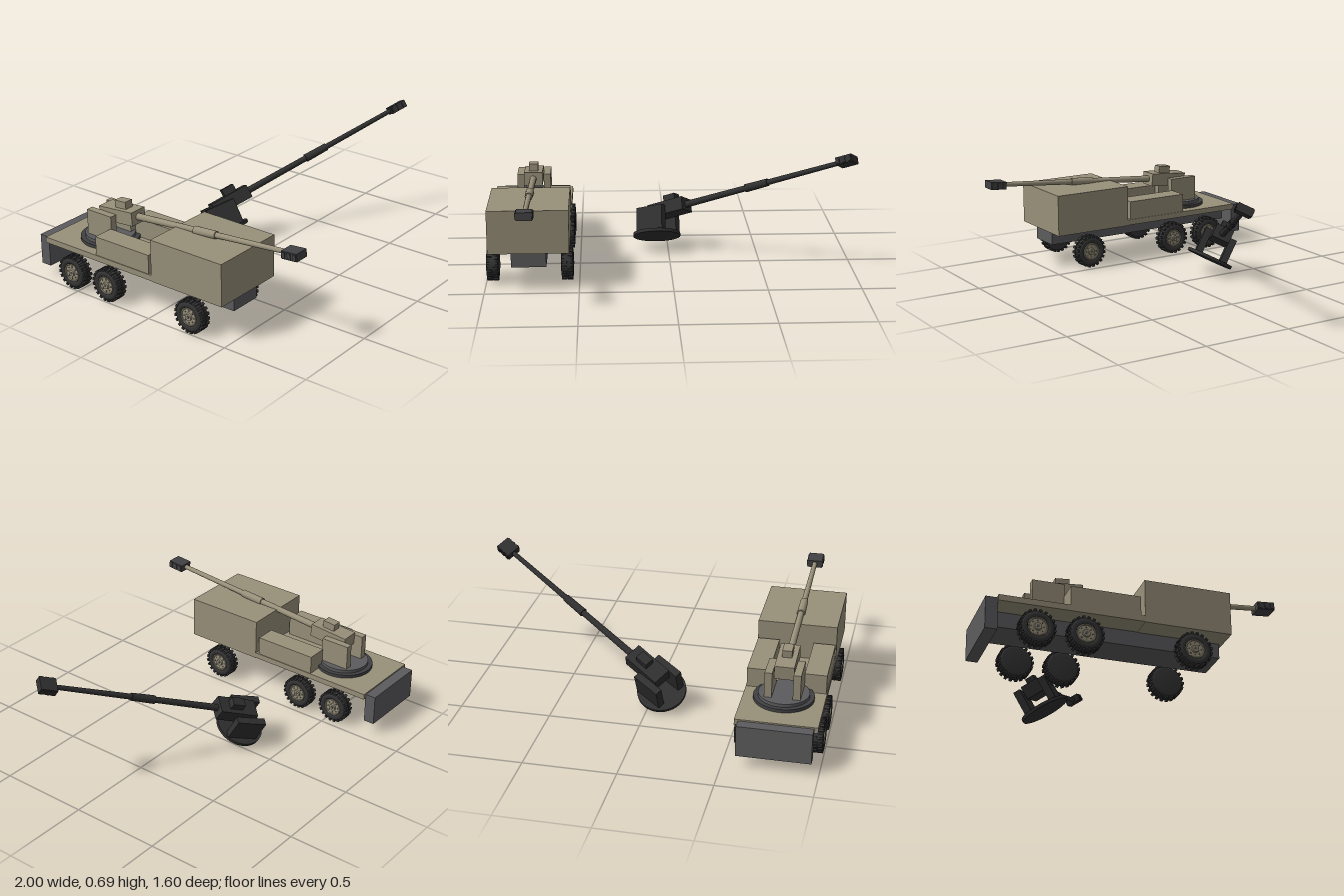
import * as THREE from 'three';

const mat = (name, color) => {
  const m = new THREE.MeshStandardMaterial({ color });
  m.name = name;
  return m;
};
const tan = mat('tan paint', 0x98907a);
const grey = mat('chassis grey', 0x5c5c5e);
const dark = mat('dark steel', 0x414143);
const rubber = mat('tyre rubber', 0x343434);
const burnt = mat('burnt metal', 0x303030);

function add(parent, name, geometry, material, x = 0, y = 0, z = 0) {
  const mesh = new THREE.Mesh(geometry, material);
  mesh.name = name;
  mesh.position.set(x, y, z);
  parent.add(mesh);
  return mesh;
}

// Box given by its lower and upper corners
function box(parent, name, material, x0, x1, y0, y1, z0, z1) {
  return add(parent, name, new THREE.BoxGeometry(x1 - x0, y1 - y0, z1 - z0), material,
    (x0 + x1) / 2, (y0 + y1) / 2, (z0 + z1) / 2);
}

// Cylinder lying along z
function rod(parent, name, material, rBack, rFront, z0, z1) {
  const g = new THREE.CylinderGeometry(rFront, rBack, z1 - z0, 20).rotateX(Math.PI / 2);
  return add(parent, name, g, material, 0, 0, (z0 + z1) / 2);
}

// Wheel with its outer face towards local +y
function makeWheel() {
  const wheel = new THREE.Group();
  wheel.name = 'wheel';
  const profile = [[0, -0.033], [0.07, -0.033], [0.083, -0.026], [0.087, -0.012], [0.087, 0.012],
    [0.083, 0.026], [0.07, 0.033], [0.053, 0.031], [0.05, 0.02], [0, 0.02]]
    .map(([r, y]) => new THREE.Vector2(r, y));
  add(wheel, 'tyre', new THREE.LatheGeometry(profile, 32), rubber);
  // Two staggered rows of tread blocks
  const count = 20;
  for (let i = 0; i < count * 2; i++) {
    const a = (i / (count * 2)) * Math.PI * 2;
    const lug = add(wheel, 'treadBlock', new THREE.BoxGeometry(0.012, 0.028, 0.015), rubber,
      Math.cos(a) * 0.087, i % 2 ? 0.016 : -0.016, Math.sin(a) * 0.087);
    lug.rotation.y = -a;
  }
  // Rim, hub and wheel nuts
  add(wheel, 'rim', new THREE.CylinderGeometry(0.049, 0.049, 0.006, 32), tan, 0, 0.022, 0);
  const lip = add(wheel, 'rimLip', new THREE.TorusGeometry(0.047, 0.004, 8, 32), tan, 0, 0.027, 0);
  lip.rotation.x = Math.PI / 2;
  add(wheel, 'hub', new THREE.CylinderGeometry(0.018, 0.021, 0.01, 20), tan, 0, 0.029, 0);
  add(wheel, 'hubCap', new THREE.CylinderGeometry(0.008, 0.008, 0.004, 12), grey, 0, 0.034, 0);
  for (let i = 0; i < 8; i++) {
    const a = (i / 8) * Math.PI * 2;
    add(wheel, 'wheelNut', new THREE.CylinderGeometry(0.004, 0.004, 0.005, 6), grey,
      Math.cos(a) * 0.033, 0.026, Math.sin(a) * 0.033);
  }
  return wheel;
}

// Turret whose origin is the centre of the turntable's underside
function makeTurret(name, body, base, brake) {
  const turret = new THREE.Group();
  turret.name = name;
  add(turret, 'turntable', new THREE.CylinderGeometry(0.135, 0.135, 0.018, 40), base, 0, 0.009, 0);
  for (const s of [-1, 1]) {
    const cheek = box(turret, 'cheek', body, -0.02, 0.02, 0.018, 0.158, -0.075, 0.095);
    cheek.position.x = s * 0.075;
  }

  // Elevating gun
  const gun = new THREE.Group();
  gun.name = 'gun';
  gun.position.set(0, 0.148, 0.09);
  gun.rotation.x = -0.085;
  turret.add(gun);
  box(gun, 'breech', body, -0.052, 0.052, -0.0375, 0.0375, -0.115, 0.115);
  box(gun, 'sight', body, -0.026, 0.026, 0.0375, 0.078, -0.02, 0.055);
  rod(gun, 'barrel', body, 0.019, 0.013, 0.115, 1.09);
  rod(gun, 'barrelSleeve', body, 0.023, 0.021, 0.505, 0.645);

  // Muzzle brake with raised side baffles
  box(gun, 'muzzleBrake', brake, -0.041, 0.041, -0.021, 0.021, 1.083, 1.178);
  for (const z of [1.088, 1.121, 1.154]) {
    box(gun, 'brakeBaffle', brake, -0.046, 0.046, -0.017, 0.017, z, z + 0.019);
  }
  return turret;
}

export function createModel() {
  const model = new THREE.Group();
  model.name = 'selfPropelledGun';

  // Truck, centred on its own x
  const truck = new THREE.Group();
  truck.name = 'truck';
  truck.position.x = -0.765;
  model.add(truck);
  box(truck, 'chassis', grey, -0.093, 0.093, 0.13, 0.212, -0.74, 0.45);
  box(truck, 'cab', tan, -0.215, 0.215, 0.21, 0.445, 0.01, 0.47);
  box(truck, 'deck', tan, -0.215, 0.215, 0.212, 0.244, -0.74, 0.01);
  box(truck, 'rearSpade', grey, -0.195, 0.195, 0.065, 0.236, -0.80, -0.738);
  for (const s of [-1, 1]) {
    const locker = box(truck, 'sideLocker', tan, -0.059, 0.059, 0.244, 0.35, -0.375, -0.01);
    locker.position.x = s * 0.152;
    for (const z of [0.265, -0.3, -0.545]) {
      const wheel = makeWheel();
      wheel.position.set(s * 0.2, 0.094, z);
      wheel.rotation.z = -s * Math.PI / 2;
      truck.add(wheel);
    }
  }
  add(truck, 'turretRing', new THREE.CylinderGeometry(0.16, 0.16, 0.018, 40), dark, 0, 0.253, -0.465);
  const turret = makeTurret('turret', tan, grey, dark);
  turret.position.set(0, 0.262, -0.465);
  truck.add(turret);

  // Blown-off burnt turret, tilted back and swung to its left
  const wreck = makeTurret('burntTurret', burnt, burnt, burnt);
  wreck.position.set(-0.065, 0.08, -0.235);
  wreck.rotation.set(-Math.PI / 6, 0.97, 0);
  model.add(wreck);
  return model;
}
